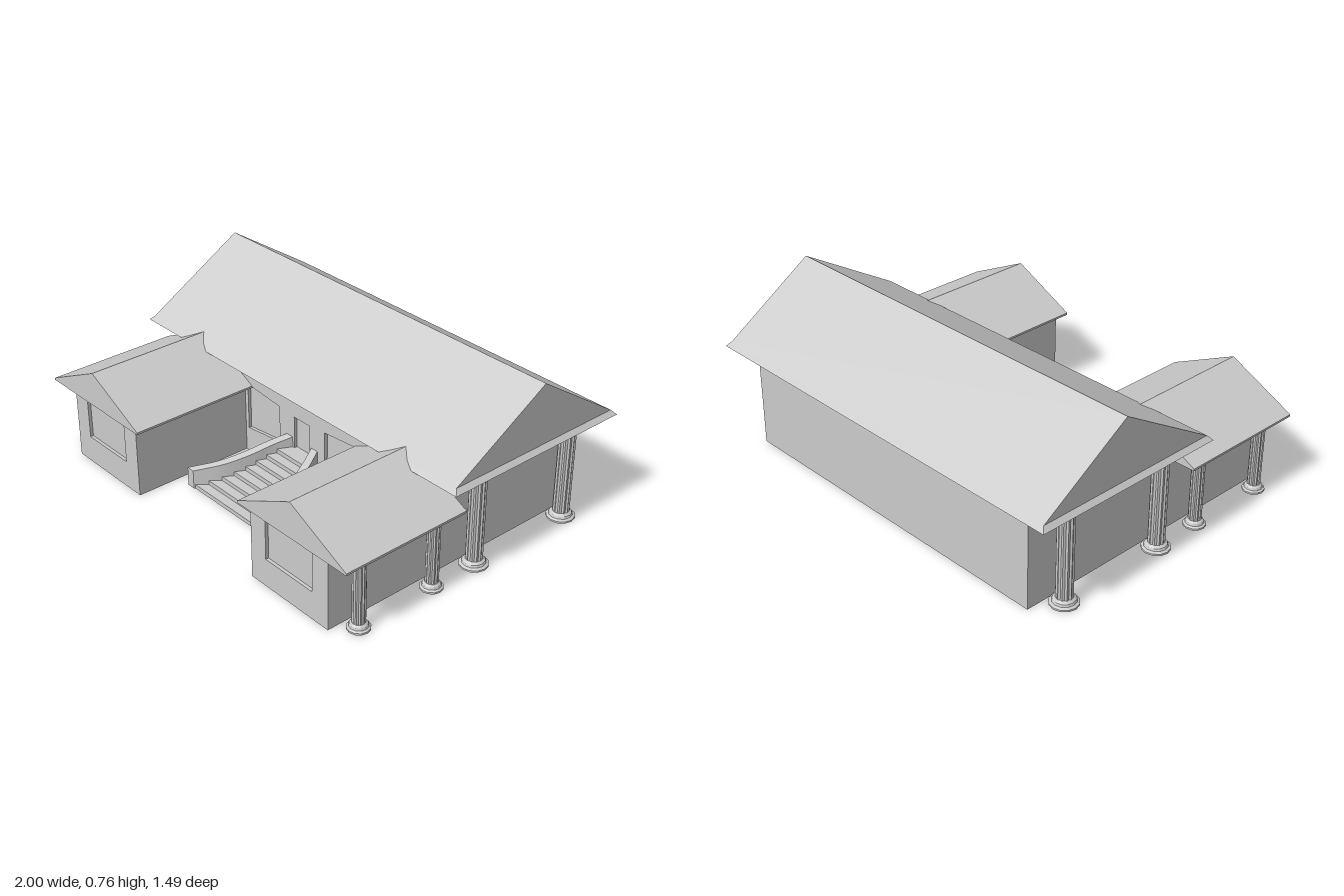
import * as THREE from 'three';

const material = new THREE.MeshStandardMaterial({ color: 0xcccccc, side: THREE.DoubleSide, flatShading: true });

function add(parent, name, geometry) {
  const mesh = new THREE.Mesh(geometry, material);
  mesh.name = name;
  parent.add(mesh);
  return mesh;
}

// Flat faces, each a convex list of corners
function faces(list) {
  const pos = [];
  for (const f of list)
    for (let i = 1; i < f.length - 1; i++) pos.push(...f[0], ...f[i], ...f[i + 1]);
  const g = new THREE.BufferGeometry();
  g.setAttribute('position', new THREE.Float32BufferAttribute(pos, 3));
  g.computeVertexNormals();
  return g;
}

const shape = pts => new THREE.Shape(pts.map(p => new THREE.Vector2(...p)));
const rect = (x0, x1, y0, y1) => [[x0, y0], [x1, y0], [x1, y1], [x0, y1]];
const lerp = THREE.MathUtils.lerp;

// Front-facing wall at z with recessed openings
function windowWall(parent, name, outline, holes, z) {
  const depth = 0.015;
  const s = shape(outline);
  holes.forEach(h => s.holes.push(new THREE.Path(h.map(p => new THREE.Vector2(...p)))));
  add(parent, name, new THREE.ExtrudeGeometry(s, { depth, bevelEnabled: false })).position.z = z - depth;
  holes.forEach(h => { add(parent, name + 'Pane', new THREE.ShapeGeometry(shape(h))).position.z = z - depth; });
}

// Octagonal moulding at foot and head, narrow fluted shaft
function column(parent, name, x, z, h, r) {
  const g = new THREE.Group();
  g.name = name;
  const R = r * 1.7;
  const moulding = [[0, 0], [R, 0], [R, 0.008], [r * 1.4, 0.014], [r * 1.3, 0.024], [r, 0.032], [0, 0.032]]
    .map(p => new THREE.Vector2(...p));
  add(g, 'base', new THREE.LatheGeometry(moulding, 12));
  const cap = add(g, 'capital', new THREE.LatheGeometry(moulding, 12));
  cap.rotation.x = Math.PI;
  cap.position.y = h;
  // Star-shaped section gives the flutes
  const section = [];
  for (let i = 0; i < 24; i++) {
    const a = i * Math.PI / 12, q = i % 2 ? r * 0.87 : r;
    section.push([q * Math.cos(a), q * Math.sin(a)]);
  }
  const shaft = new THREE.ExtrudeGeometry(shape(section), { depth: h - 0.05, bevelEnabled: false });
  shaft.rotateX(-Math.PI / 2).translate(0, 0.025, 0);
  add(g, 'shaft', shaft);
  g.position.set(x, 0, z);
  parent.add(g);
}

export function createModel() {
  const model = new THREE.Group();
  model.name = 'house';

  // Main roof: flared eave skirt below a gabled prism
  const ring = (x, y, z0, z1) => [[-x, y, z1], [x, y, z1], [x, y, z0], [-x, y, z0]];
  const low = ring(1, 0.457, -0.75, 0.2), up = ring(0.98, 0.478, -0.73, 0.18);
  const ridgeL = [-0.98, 0.76, -0.3], ridgeR = [0.98, 0.76, -0.3];
  const roofFaces = [
    [...low].reverse(),
    [up[0], up[1], ridgeR, ridgeL], [up[2], up[3], ridgeL, ridgeR],
    [up[1], up[2], ridgeR], [up[3], up[0], ridgeL],
  ];
  for (let i = 0; i < 4; i++) {
    const j = (i + 1) % 4;
    roofFaces.push([low[i], low[j], up[j], up[i]]);
  }
  add(model, 'mainRoof', faces(roofFaces));

  // Hall back wall, and front wall with door and splayed windows
  add(model, 'backWall', new THREE.PlaneGeometry(1.7, 0.46)).position.set(0, 0.23, -0.68);
  model.getObjectByName('backWall').rotation.y = Math.PI;
  const pane = s => [[s * 0.15, 0.145], [s * 0.37, 0.12], [s * 0.37, 0.345], [s * 0.15, 0.325]];
  windowWall(model, 'porchWall',
    [[-0.39, 0], [0.39, 0], [0.39, 0.34], [0.85, 0.34], [0.85, 0.46], [-0.85, 0.46], [-0.85, 0.34], [-0.39, 0.34]],
    [pane(1), pane(-1), rect(-0.05, 0.05, 0.16, 0.315)], 0.12);

  for (const s of [1, -1]) {
    const wing = new THREE.Group();
    wing.name = s > 0 ? 'leftWing' : 'rightWing';
    model.add(wing);

    // Outer wall runs the whole depth of hall and wing
    const side = new THREE.ShapeGeometry(shape(
      [[-0.68, 0], [0.715, 0], [0.715, 0.34], [0.12, 0.34], [0.12, 0.46], [-0.68, 0.46]]));
    side.rotateY(-Math.PI / 2);
    add(wing, 'outerWall', side).position.x = s * 0.85;
    const inner = new THREE.ShapeGeometry(shape(rect(0.12, 0.715, 0, 0.34)));
    inner.rotateY(-Math.PI / 2);
    add(wing, 'innerWall', inner).position.x = s * 0.39;
    const span = (a, b, y0, y1) => rect(Math.min(s * a, s * b), Math.max(s * a, s * b), y0, y1);
    windowWall(wing, 'wingFront', span(0.39, 0.85, 0, 0.34), [span(0.48, 0.76, 0.13, 0.33)], 0.715);

    // Gabled wing roof with a thin eave edge
    const gable = shape([[-0.32, 0.338], [0.32, 0.338], [0.32, 0.348], [0, 0.502], [-0.32, 0.348]]);
    const roof = new THREE.ExtrudeGeometry(gable, { depth: 0.625, bevelEnabled: false });
    add(wing, 'wingRoof', roof).position.set(s * 0.66, 0, 0.115);

    // Side colonnade
    for (const z of [-0.015, -0.545]) column(wing, 'hallColumn', s * 0.915, z, 0.46, 0.037);
    for (const z of [0.615, 0.225]) column(wing, 'wingColumn', s * 0.915, z, 0.34, 0.029);
  }

  // Flaring staircase
  const flare = new THREE.CatmullRomCurve3([[0.062, 0.12], [0.1, 0.2], [0.138, 0.3], [0.192, 0.4], [0.28, 0.505]]
    .map(([x, z]) => new THREE.Vector3(x, 0, z)));
  const edge = flare.getPoints(20);
  const widthAt = z => {
    let i = 0;
    while (i < edge.length - 2 && edge[i + 1].z < z) i++;
    return lerp(edge[i].x, edge[i + 1].x, (z - edge[i].z) / (edge[i + 1].z - edge[i].z));
  };
  const steps = [], count = 8, rise = 0.02, run = 0.045;
  for (let i = 0; i < count; i++) {
    const z0 = 0.5 - i * run, z1 = i === count - 1 ? 0.12 : z0 - run;
    const y0 = i * rise, y1 = y0 + rise, a = widthAt(z0), b = widthAt(z1);
    steps.push([[-a, y0, z0], [a, y0, z0], [a, y1, z0], [-a, y1, z0]]);
    steps.push([[-a, y1, z0], [a, y1, z0], [b, y1, z1], [-b, y1, z1]]);
  }
  add(model, 'stairs', faces(steps));

  // Curved solid parapets descending beside the steps
  for (const s of [1, -1]) {
    const sections = edge.map((p, i) => {
      const t = (p.z - 0.12) / 0.385, y = lerp(0.21, 0.09, t);
      const x0 = s * p.x, x1 = s * (p.x + 0.04);
      return [[x0, 0, p.z], [x1, 0, p.z], [x1, y, p.z], [x0, y, p.z]];
    });
    const list = [sections[0], sections[sections.length - 1]];
    for (let i = 0; i < sections.length - 1; i++)
      for (let k = 0; k < 4; k++) {
        const n = (k + 1) % 4;
        list.push([sections[i][k], sections[i][n], sections[i + 1][n], sections[i + 1][k]]);
      }
    // Wind both mirrored parapets outward
    add(model, 'parapet', faces(s > 0 ? list.map(f => [...f].reverse()) : list));
  }

  return model;
}
